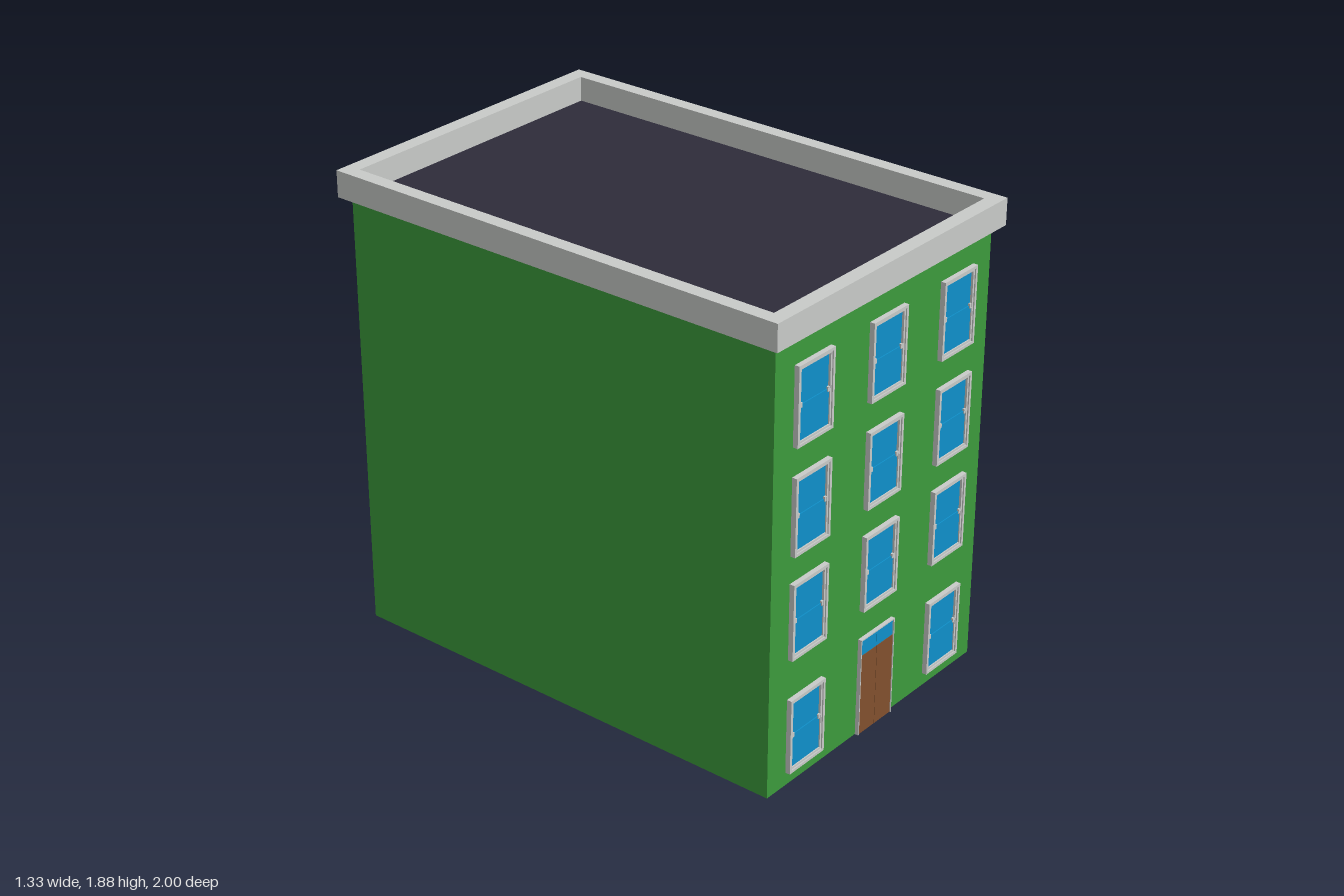
import * as THREE from 'three';

const mat = (name, color, extra = {}) => {
  const m = new THREE.MeshStandardMaterial({ color, ...extra });
  m.name = name;
  return m;
};

export function createModel() {
  const green = mat('green wall', 0x3c9a3c, { side: THREE.DoubleSide });
  const stone = mat('pale stone', 0xc8cac8);
  const slate = mat('dark roof', 0x2e2c3a, { side: THREE.DoubleSide });
  const glass = mat('blue glass', 0x0f90ca);
  const wood = mat('brown wood', 0x82502e);

  const W = 0.625, D = 0.965, WALL_TOP = 1.775;
  const model = new THREE.Group();
  model.name = 'townhouse';

  const add = (parent, name, geometry, material, x = 0, y = 0, z = 0) => {
    const mesh = new THREE.Mesh(geometry, material);
    mesh.name = name;
    mesh.position.set(x, y, z);
    parent.add(mesh);
    return mesh;
  };

  // Rectangular ring, extruded forward from z = 0
  const ring = (w, h, iw, ih, depth) => {
    const rect = (P, a, b) => {
      const p = new P();
      p.moveTo(-a, -b).lineTo(a, -b).lineTo(a, b).lineTo(-a, b).closePath();
      return p;
    };
    const shape = rect(THREE.Shape, w / 2, h / 2);
    shape.holes.push(rect(THREE.Path, iw / 2, ih / 2));
    return new THREE.ExtrudeGeometry(shape, { depth, bevelEnabled: false });
  };

  // Four walls, open underneath
  ['front', 'left', 'back', 'right'].forEach((side, i) => {
    const across = i % 2 ? D : W, out = i % 2 ? W : D, a = i * Math.PI / 2;
    add(model, side + 'Wall', new THREE.PlaneGeometry(across * 2, WALL_TOP), green,
      Math.sin(a) * out, WALL_TOP / 2, Math.cos(a) * out).rotation.y = a;
  });

  // Parapet ring and recessed flat roof
  add(model, 'parapet', ring(1.325, 2, 1.21, 1.88, 0.105), stone, 0, 1.773, 0).rotation.x = -Math.PI / 2;
  add(model, 'roof', new THREE.PlaneGeometry(1.24, 1.92), slate, 0, 1.78, 0).rotation.x = -Math.PI / 2;

  // Sash windows: stepped frame, lower pane slightly forward of the upper
  const outerFrame = ring(0.2, 0.306, 0.178, 0.284, 0.02);
  const innerFrame = ring(0.182, 0.288, 0.162, 0.268, 0.015);
  const upperPane = new THREE.BoxGeometry(0.164, 0.135, 0.006);
  const lowerPane = new THREE.BoxGeometry(0.164, 0.135, 0.01);
  const latch = new THREE.BoxGeometry(0.012, 0.018, 0.014);
  const addWindow = (x, y) => {
    const g = new THREE.Group();
    g.name = 'window';
    g.position.set(x, y, D);
    add(g, 'outerFrame', outerFrame, stone);
    add(g, 'innerFrame', innerFrame, stone);
    add(g, 'upperPane', upperPane, glass, 0, 0.0675, 0.003);
    add(g, 'lowerPane', lowerPane, glass, 0, -0.0675, 0.005);
    for (const s of [-1, 1]) add(g, 'sashStop', latch, stone, s * 0.077, 0, 0.007);
    model.add(g);
  };
  [0.207, 0.677, 1.092, 1.512].forEach((y, floor) => {
    for (const x of [-0.42, 0, 0.42]) if (floor || x) addWindow(x, y);
  });

  // Double door with a two-pane light above
  const door = new THREE.Group();
  door.name = 'door';
  door.position.z = D;
  for (const s of [-1, 1]) {
    add(door, 'doorLeaf', new THREE.BoxGeometry(0.097, 0.335, 0.012), wood, s * 0.0495, 0.1675, 0.006);
    add(door, 'transomPane', new THREE.BoxGeometry(0.097, 0.066, 0.01), glass, s * 0.0495, 0.368, 0.005);
    add(door, 'doorJamb', new THREE.BoxGeometry(0.004, 0.405, 0.016), stone, s * 0.1, 0.2025, 0.008);
  }
  add(door, 'doorGap', new THREE.BoxGeometry(0.003, 0.335, 0.006), wood, 0, 0.1675, 0.003);
  add(door, 'doorLintel', new THREE.BoxGeometry(0.204, 0.005, 0.016), stone, 0, 0.4035, 0.008);
  model.add(door);

  return model;
}
